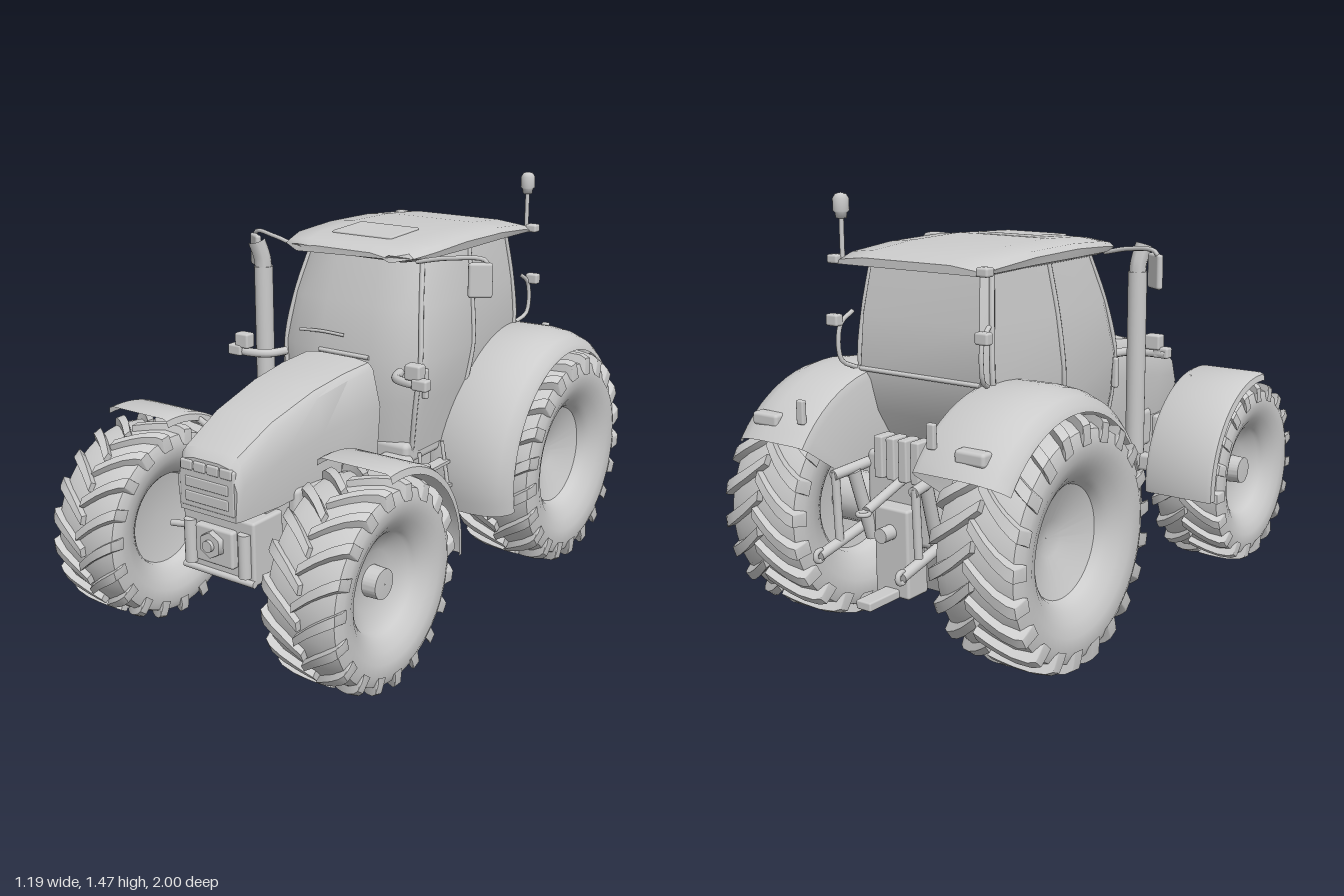
import * as THREE from 'three';
import { mergeGeometries, toCreasedNormals } from 'three/addons/utils/BufferGeometryUtils.js';
import { RoundedBoxGeometry } from 'three/addons/geometries/RoundedBoxGeometry.js';

const grey = new THREE.MeshStandardMaterial({ color: 0xcccccc });
const sheetGrey = new THREE.MeshStandardMaterial({ color: 0xcccccc, side: THREE.DoubleSide });
const V = (a) => new THREE.Vector3(...a);
const SIDES = [1, -1];

// Skin over equal rings of [x, y, z]; closed rings get end caps and outward faces
function loft(rings, closed = true, crease = 0.6) {
  const n = rings[0].length, tris = [];
  for (let i = 0; i < rings.length - 1; i++) {
    for (let j = 0; j < (closed ? n : n - 1); j++) {
      const k = (j + 1) % n, a = rings[i][j], b = rings[i][k], c = rings[i + 1][k], d = rings[i + 1][j];
      tris.push([a, b, c], [a, c, d]);
    }
  }
  if (closed) {
    const first = rings[0], last = rings[rings.length - 1];
    for (let j = 1; j < n - 1; j++) tris.push([first[0], first[j + 1], first[j]], [last[0], last[j], last[j + 1]]);
    const c = V(first[0]);
    const volume = tris.reduce((s, t) => {
      const [p, q, r] = t.map((v) => V(v).sub(c));
      return s + p.dot(q.cross(r));
    }, 0);
    if (volume < 0) tris.forEach((t) => t.reverse());
  }
  const g = new THREE.BufferGeometry();
  g.setAttribute('position', new THREE.Float32BufferAttribute(tris.flat(2), 3));
  return toCreasedNormals(g, crease);
}

export function createModel() {
  const model = new THREE.Group();
  const add = (name, geo, mat = grey) => {
    const m = new THREE.Mesh(geo, mat);
    m.name = name;
    model.add(m);
    return m;
  };
  // Box from x, y and z ranges
  const box = (name, [x0, x1], [y0, y1], [z0, z1], round = 0) => {
    const s = [Math.abs(x1 - x0), y1 - y0, Math.abs(z1 - z0)];
    const m = add(name, round ? new RoundedBoxGeometry(...s, 2, round) : new THREE.BoxGeometry(...s));
    m.position.set((x0 + x1) / 2, (y0 + y1) / 2, (z0 + z1) / 2);
    return m;
  };
  const tube = (name, pts, r, seg = 12) =>
    add(name, new THREE.TubeGeometry(new THREE.CatmullRomCurve3(pts.map(V)), seg, r, 8));
  const rod = (name, a, b, r0, r1 = r0, sides = 16) => {
    const d = V(b).sub(V(a));
    const m = add(name, new THREE.CylinderGeometry(r1, r0, d.length(), sides));
    m.position.copy(V(a)).addScaledVector(d, 0.5);
    m.quaternion.setFromUnitVectors(V([0, 1, 0]), d.normalize());
    return m;
  };

  // Wheels: lathed tyre and dish, with curved chevron lugs
  const tyre = [[0.48, 0.6], [0.52, 0.7], [0.6, 0.85], [0.7, 0.96], [0.82, 0.99], [0.9, 0.9], [0.935, 0.6]];
  function wheel(name, s, R, half, pos, count, dish) {
    const wall = tyre.map(([r, a]) => [r * R, a * half]);
    const prof = [[0.001, -0.03], [0.46 * R, -0.06], ...wall.map(([r, a]) => [r, -a]), [0.94 * R, 0], ...wall.reverse(), ...dish];
    const body = new THREE.LatheGeometry(prof.map((p) => new THREE.Vector2(...p)), 56);
    body.rotateZ(-Math.PI / 2);
    if (s < 0) body.rotateY(Math.PI);
    add(name, toCreasedNormals(body, 0.6)).position.set(...pos);
    // each row: position across the tread, outer radius, inner radius
    const rows = [[-0.07, 1, 0.9], [0.15, 1, 0.9], [0.35, 1, 0.9], [0.62, 0.998, 0.9], [0.88, 0.98, 0.86], [1, 0.95, 0.82], [1.03, 0.87, 0.8]];
    const lugs = [];
    for (const side of SIDES) {
      for (let i = 0; i < count; i++) {
        const t0 = ((i + (side > 0 ? 0 : 0.5)) / count) * Math.PI * 2;
        lugs.push(loft(rows.map(([t, ro, ri]) => {
          const th = t0 + 0.15 - 0.31 * Math.pow(Math.max(t, 0), 0.75), w = 0.058 + 0.014 * t;
          return [[ri, -w], [ro, -w * 0.72], [ro, w * 0.72], [ri, w]].map(([r, o]) =>
            [side * t * half, r * R * Math.cos(th + o), r * R * Math.sin(th + o)]);
        })));
      }
    }
    add(name + 'Lugs', mergeGeometries(lugs)).position.set(...pos);
  }

  // Mudguard: open profile of [x, radius] swept round a wheel axis
  function mudguard(name, s, profile, cy, cz, from, to) {
    const rows = [];
    for (let i = 0; i <= 28; i++) {
      const a = THREE.MathUtils.degToRad(from + ((to - from) * i) / 28);
      rows.push(profile.map(([x, r]) => [s * x, cy + r * Math.sin(a), cz + r * Math.cos(a)]));
    }
    add(name, loft(rows, false), sheetGrey);
  }

  // Bonnet, cross-sections from nose to windscreen
  const hood = [[0.855, 0.10, 0.125, 0.715, 0.53], [0.83, 0.115, 0.135, 0.745, 0.53], [0.67, 0.125, 0.152, 0.82, 0.53],
    [0.46, 0.135, 0.165, 0.875, 0.54], [0.3, 0.142, 0.178, 0.897, 0.55], [0.155, 0.145, 0.185, 0.905, 0.55]];
  add('bonnet', loft(hood.map(([z, wt, ws, yt, yb]) => {
    const h = [[ws * 0.93, yb], [ws, yb + (yt - yb) * 0.55], [wt * 1.06, yt - 0.028], [wt * 0.92, yt - 0.008], [wt * 0.5, yt]];
    return [...h, ...h.map(([x, y]) => [-x, y]).reverse()].map(([x, y]) => [x, y, z]);
  })));
  box('grilleFrame', [-0.115, 0.115], [0.545, 0.7], [0.84, 0.858], 0.008);
  for (let i = 0; i < 4; i++) box('headlamp', [-0.108 + i * 0.055, -0.058 + i * 0.055], [0.67, 0.705], [0.845, 0.862], 0.006);
  for (let i = 0; i < 2; i++) box('grilleBar', [-0.09, 0.09], [0.565 + i * 0.05, 0.6 + i * 0.05], [0.85, 0.862], 0.004);

  // Front carrier with hitch boss
  box('frontCarrier', [-0.15, 0.15], [0.3, 0.52], [0.66, 0.81], 0.01);
  box('frontPlate', [-0.08, 0.08], [0.35, 0.48], [0.8, 0.835], 0.01);
  rod('hitchBoss', [0, 0.425, 0.82], [0, 0.425, 0.855], 0.05, 0.045, 6);
  rod('hitchPin', [0, 0.425, 0.85], [0, 0.425, 0.868], 0.02);
  rod('carrierBar', [-0.15, 0.31, 0.81], [0.15, 0.31, 0.81], 0.012);

  // Chassis with sloped rear belly
  const belly = [[0.72, 0.58], [0.72, 0.33], [-0.2, 0.33], [-0.36, 0.19], [-0.68, 0.19], [-0.74, 0.35], [-0.74, 0.65], [-0.2, 0.65]];
  add('chassis', loft([0.128, -0.128].map((x) => belly.map(([z, y]) => [x, y, z])), true, 0.3));
  box('engineBay', [-0.16, 0.16], [0.42, 0.57], [0.12, 0.6], 0.02);
  box('frontAxle', [-0.34, 0.34], [0.31, 0.38], [0.56, 0.615], 0.015);
  rod('rearAxle', [-0.42, 0.42, -0.585], [0.42, 0.42, -0.585], 0.09);
  box('cabFloor', [-0.26, 0.26], [0.52, 0.6], [-0.5, 0.1], 0.02);

  // Cab: rings from floor to roof with a bowed windscreen
  const cabRings = [[0.56, 0.265, 0.25, 0.1, -0.5], [0.75, 0.295, 0.26, 0.12, -0.62], [0.9, 0.31, 0.275, 0.115, -0.665],
    [1.08, 0.287, 0.265, 0.08, -0.655], [1.26, 0.25, 0.245, 0.02, -0.625]];
  const cabRing = ([y, wf, wr, zf, zr]) => {
    const h = [[wf * 0.35, zf], [wf * 0.75, zf - 0.015], [wf * 0.95, zf - 0.045], [wf, zf - 0.08], [(wf + wr) / 2 + 0.01, (zf + zr) / 2], [wr, zr + 0.03], [wr * 0.9, zr]];
    return [...h, ...h.map(([x, z]) => [-x, z]).reverse()].map(([x, z]) => [x, y, z]);
  };
  const rings = cabRings.map(cabRing);
  add('cab', loft(rings));
  for (const j of [2, 4, 5, 8, 9, 11]) tube('cabPillar', rings.map((r) => r[j]), 0.009, 16);
  for (const k of [2, 4]) for (const [a, b] of [[0, 13], [6, 7]]) rod('windowRail', rings[k][a], rings[k][b], 0.008);
  tube('wiper', [[-0.2, 0.96, 0.11], [-0.1, 0.967, 0.112], [0, 0.965, 0.112]], 0.006);

  // Roof: arched sections from front to back, with hatch
  const roof = [[0.125, 0.2, 1.28, 1.262], [0.09, 0.275, 1.296, 1.25], [0.0, 0.305, 1.308, 1.245], [-0.2, 0.312, 1.318, 1.245],
    [-0.45, 0.312, 1.314, 1.245], [-0.65, 0.305, 1.298, 1.24], [-0.72, 0.295, 1.28, 1.25]];
  add('roof', loft(roof.map(([z, w, yt, yb]) => {
    const h = [[w * 0.84, yb], [w * 0.98, yb + 0.014], [w, yt - 0.03], [w * 0.93, yt - 0.014], [w * 0.6, yt - 0.003]];
    return [...h, ...h.map(([x, y]) => [-x, y]).reverse()].map(([x, y]) => [x, y, z]);
  })));
  box('roofHatch', [-0.135, 0.12], [1.294, 1.317], [-0.185, 0.0], 0.006).rotation.x = 0.05;
  rod('beaconStalk', [0.28, 1.26, -0.7], [0.28, 1.41, -0.7], 0.008);
  const lamp = [[0.001, 0], [0.018, 0.002], [0.02, 0.02], [0.027, 0.025], [0.027, 0.065], [0.018, 0.08], [0.001, 0.084]];
  add('beacon', new THREE.LatheGeometry(lamp.map((p) => new THREE.Vector2(...p)), 20)).position.set(0.28, 1.395, -0.7);

  // Exhaust stack on the right, leaning air canister on the left
  rod('exhaustPipe', [-0.345, 0.52, 0.135], [-0.345, 1.18, 0.135], 0.034, 0.034, 20);
  tube('exhaustTip', [[-0.345, 1.17, 0.135], [-0.347, 1.21, 0.138], [-0.358, 1.275, 0.155]], 0.031);
  rod('airCanister', [0.375, 0.27, 0.14], [0.335, 0.55, 0.145], 0.047, 0.047, 20);

  for (const s of SIDES) {
    wheel('frontWheel', s, 0.352, 0.138, [s * 0.455, 0.358, 0.65], 19, [[0.16, 0.07], [0.1, 0.04], [0.052, 0.035], [0.05, 0.085], [0.001, 0.087]]);
    wheel('rearWheel', s, 0.412, 0.155, [s * 0.435, 0.418, -0.585], 21, [[0.185, 0.07], [0.06, 0.02], [0.001, 0.005]]);
    mudguard('frontMudguard', s, [[0.315, 0.36], [0.32, 0.383], [0.335, 0.39], [0.575, 0.39], [0.592, 0.383], [0.597, 0.36]], 0.36, 0.65, 83, 184);
    mudguard('rearMudguard', s, [[0.215, 0.2], [0.215, 0.45], [0.225, 0.475], [0.25, 0.485], [0.4, 0.487], [0.46, 0.48], [0.51, 0.462], [0.54, 0.435], [0.548, 0.415]], 0.42, -0.585, -14, 145);
    tube('mudguardStay', [[s * 0.28, 0.36, 0.6], [s * 0.3, 0.5, 0.52], [s * 0.3, 0.68, 0.52], [s * 0.36, 0.73, 0.55]], 0.012);
    rod('steeringRod', [s * 0.13, 0.38, 0.645], [s * 0.34, 0.36, 0.67], 0.012);
    rod('carrierPod', [s * 0.115, 0.33, 0.815], [s * 0.115, 0.48, 0.815], 0.022);
    box('sideTank', [s * 0.15, s * 0.28], [0.34, 0.56], [0.06, 0.25], 0.03);

    // Access steps
    for (const z of [0.07, -0.1]) rod('stepRail', [s * 0.34, 0.225, z], [s * 0.29, 0.57, z * 0.9], 0.007);
    for (let i = 0; i < 4; i++) {
      const x = 0.34 - i * 0.012, y = 0.23 + i * 0.088;
      box('step', [s * (x - 0.03), s * (x + 0.015)], [y - 0.006, y + 0.006], [-0.1, 0.07]);
    }

    // Mirror, door handle and front work lamps
    tube('mirrorArm', [[s * 0.26, 1.25, 0.05], [s * 0.38, 1.272, 0.03], [s * 0.5, 1.268, -0.01], [s * 0.495, 1.2, 0]], 0.008, 20);
    box('mirror', [s * 0.445, s * 0.528], [1.145, 1.265], [-0.005, 0.018], 0.01).rotation.y = s * 0.6;
    box('doorHandle', [s * 0.295, s * 0.318], [0.77, 0.88], [0.045, 0.065], 0.008);
    tube('lampArm', [[s * 0.25, 0.875, 0.13], [s * 0.28, 0.875, 0.2], [s * 0.35, 0.875, 0.225], [s * 0.42, 0.875, 0.22]], 0.016, 16);
    box('workLamp', [s * 0.34, s * 0.4], [0.89, 0.945], [0.2, 0.245], 0.008);
    box('indicator', [s * 0.37, s * 0.43], [0.86, 0.9], [0.21, 0.25], 0.008);

    // Rear lamps and grab rails
    tube('grabRail', [[s * 0.27, 0.9, -0.66], [s * 0.29, 0.93, -0.71], [s * 0.29, 1.05, -0.71], [s * 0.28, 1.09, -0.66]], 0.008);
    box('rearWorkLamp', [s * 0.28, s * 0.33], [1.045, 1.085], [-0.74, -0.705], 0.008);
    box('roofLamp', [s * 0.28, s * 0.325], [1.25, 1.28], [-0.73, -0.69], 0.008);
    box('tailLamp', [s * 0.36, s * 0.47], [0.735, 0.78], [-0.95, -0.9], 0.012);
    box('markerLamp', [s * 0.25, s * 0.28], [0.76, 0.84], [-0.94, -0.92], 0.006);

    // Lower linkage
    rod('lowerLink', [s * 0.165, 0.42, -0.66], [s * 0.17, 0.35, -0.97], 0.018);
    const ball = add('linkEye', new THREE.TorusGeometry(0.018, 0.009, 8, 16));
    ball.position.set(s * 0.17, 0.35, -0.97);
    ball.rotation.y = Math.PI / 2;
    rod('liftArm', [s * 0.14, 0.62, -0.7], [s * 0.165, 0.6, -0.9], 0.018);
    rod('liftRod', [s * 0.165, 0.61, -0.89], [s * 0.165, 0.37, -0.88], 0.014);
    rod('liftCylinder', [s * 0.14, 0.36, -0.75], [s * 0.15, 0.6, -0.82], 0.022);
  }

  // Rear hitch and valve block
  box('rearHousing', [-0.15, 0.15], [0.36, 0.66], [-0.76, -0.5], 0.02);
  box('hitchFrame', [-0.07, 0.07], [0.2, 0.5], [-0.82, -0.72], 0.01);
  for (let i = 0; i < 4; i++) box('valve', [-0.095 + i * 0.05, -0.06 + i * 0.05], [0.58, 0.72], [-0.79, -0.72], 0.006);
  rod('powerShaft', [0, 0.42, -0.8], [0, 0.42, -0.87], 0.025);
  rod('topLink', [0, 0.58, -0.75], [0, 0.52, -0.93], 0.016);
  const eye = add('topLinkEye', new THREE.TorusGeometry(0.018, 0.008, 8, 16));
  eye.position.set(0, 0.515, -0.945);
  eye.rotation.x = Math.PI / 2;
  box('drawbar', [-0.03, 0.03], [0.2, 0.23], [-0.96, -0.6], 0.006);

  return model;
}
